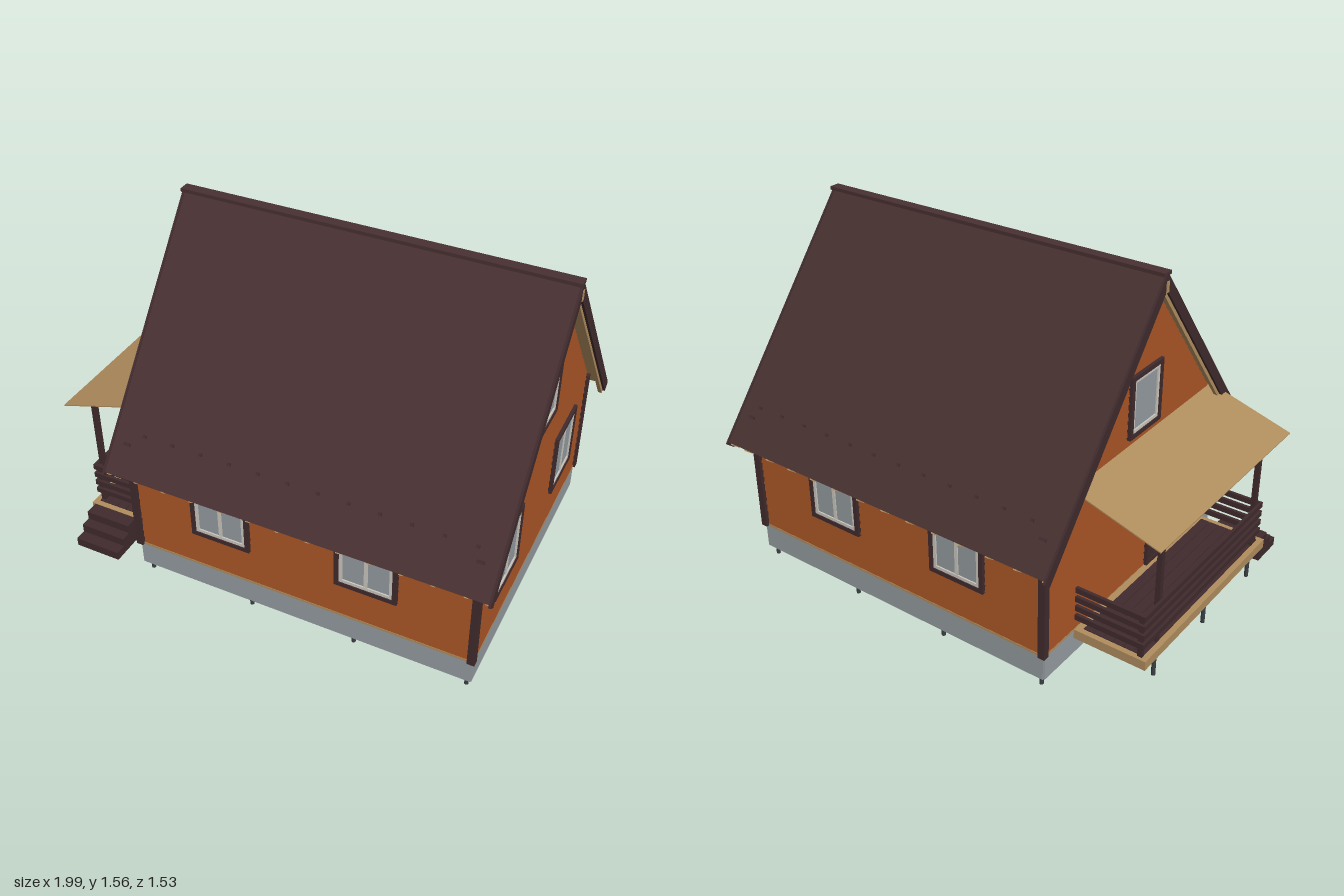
import * as THREE from 'three';

const mat = (name, color, side = THREE.FrontSide) => {
  const m = new THREE.MeshStandardMaterial({ color, side });
  m.name = name;
  return m;
};

export function createModel() {
  const M = {
    wall: mat('orange siding', 0xa05023),
    roof: mat('roof brown', 0x483031),
    trim: mat('trim brown', 0x402b2d),
    wood: mat('raw timber', 0xb08d5e),
    skirt: mat('plinth grey', 0x949ca0),
    glass: mat('window glass', 0x949ca0),
    frame: mat('window frame', 0xccc8c0),
    steel: mat('pile steel', 0x3a3f42),
  };
  const house = new THREE.Group();
  house.name = 'house';

  const add = (name, geo, m, parent = house) => {
    const mesh = new THREE.Mesh(geo, m);
    mesh.name = name;
    parent.add(mesh);
    return mesh;
  };
  // box given by its min and max on each axis
  const box = (name, m, x0, x1, y0, y1, z0, z1, parent = house) => {
    const b = add(name, new THREE.BoxGeometry(x1 - x0, y1 - y0, z1 - z0), m, parent);
    b.position.set((x0 + x1) / 2, (y0 + y1) / 2, (z0 + z1) / 2);
    return b;
  };
  // outline in (z, y) extruded from x0 to x1
  const alongX = (name, m, pts, x0, x1) => {
    const shape = new THREE.Shape(pts.map(p => new THREE.Vector2(...p)));
    const geo = new THREE.ExtrudeGeometry(shape, { depth: x1 - x0, bevelEnabled: false });
    geo.rotateY(-Math.PI / 2).translate(x1, 0, 0);
    return add(name, geo, m);
  };

  const X0 = -0.614, X1 = 0.91, Z = 0.655, XC = (X0 + X1) / 2;
  const APEX = 1.555, SLOPE = 1.242, NZ = 0.779, NY = 0.627;

  // wall core with gables
  const wallTop = 1.515;
  alongX('wallCore', M.wall, [[-Z, 0.17], [Z, 0.17], [Z, wallTop - SLOPE * Z],
    [0, wallTop], [-Z, wallTop - SLOPE * Z]], X0, X1);

  // lapped siding: each board leans out at its lower edge
  const siding = (name, halfWidth, top, x, z, turn) => {
    const pos = [], idx = [], h = 0.036, d = 0.007;
    for (let y = 0.17; y < top - 0.005; y += h) {
      const y1 = Math.min(y + h, top), a = halfWidth(y), b = halfWidth(y1), n = pos.length / 3;
      pos.push(-a, y, d, a, y, d, b, y1, 0.001, -b, y1, 0.001);
      pos.push(-a, y, 0, a, y, 0, a, y, d, -a, y, d);
      for (const k of [n, n + 4]) idx.push(k, k + 1, k + 2, k, k + 2, k + 3);
    }
    const geo = new THREE.BufferGeometry();
    geo.setAttribute('position', new THREE.Float32BufferAttribute(pos, 3));
    geo.setIndex(idx);
    geo.computeVertexNormals();
    const s = add(name, geo, M.wall);
    s.position.set(x, 0, z);
    s.rotation.y = turn;
  };
  const gableHalf = y => Math.max(0, Math.min(Z, (wallTop - y) / SLOPE));
  siding('frontSiding', () => (X1 - X0) / 2, 0.7, XC, Z, 0);
  siding('backSiding', () => (X1 - X0) / 2, 0.7, XC, -Z, Math.PI);
  siding('leftSiding', gableHalf, wallTop, X1, 0, Math.PI / 2);
  siding('rightSiding', gableHalf, wallTop, X0, 0, -Math.PI / 2);

  // corner boards
  for (const x of [X0, X1]) for (const s of [-1, 1])
    box('cornerBoard', M.trim, x - 0.016, x + 0.016, 0.165, 0.69, s * 0.66 - 0.015, s * 0.66 + 0.015);

  // windows and door, built facing +z
  const ring = (w, h, t, depth) => {
    const rect = (C, a, b) => new C([[-a, -b], [a, -b], [a, b], [-a, b]].map(p => new THREE.Vector2(...p)));
    const s = rect(THREE.Shape, w / 2, h / 2);
    s.holes.push(rect(THREE.Path, w / 2 - t, h / 2 - t));
    return new THREE.ExtrudeGeometry(s, { depth, bevelEnabled: false });
  };
  const opening = (name, w, h, panes, x, y, z, turn, inner = M.frame) => {
    const g = new THREE.Group();
    g.name = name;
    add('casing', ring(w, h, 0.02, 0.02), M.trim, g);
    add('sash', ring(w - 0.04, h - 0.04, 0.014, 0.016), inner, g);
    box('pane', M.glass, -w / 2 + 0.03, w / 2 - 0.03, -h / 2 + 0.03, h / 2 - 0.03, 0.001, 0.01, g);
    if (panes > 1) box('mullion', inner, -0.008, 0.008, -h / 2 + 0.03, h / 2 - 0.03, 0.008, 0.014, g);
    g.position.set(x, y, z);
    g.rotation.y = turn;
    house.add(g);
    return g;
  };
  for (const x of [-0.2, 0.455]) {
    opening('frontWindow', 0.27, 0.3, 2, x, 0.495, Z, 0);
    opening('backWindow', 0.27, 0.3, 2, x, 0.495, -Z, Math.PI);
  }
  for (const z of [-0.35, 0.35]) opening('leftWindow', 0.27, 0.3, 2, X1, 0.495, z, Math.PI / 2);
  opening('leftAtticWindow', 0.23, 0.275, 1, X1, 1.012, 0, Math.PI / 2);
  opening('rightAtticWindow', 0.23, 0.275, 1, X0, 1.012, 0, -Math.PI / 2);
  const door = opening('door', 0.27, 0.45, 2, X0, 0.397, 0.21, -Math.PI / 2, M.trim);
  box('doorPanel', M.trim, -0.115, 0.115, -0.2, -0.06, 0.002, 0.014, door);

  // roof layers: strip from ridge to eave between two depths under the roof line
  const strip = (name, m, s, eave, p0, p1, x0, x1) => {
    const ey = APEX - SLOPE * eave;
    alongX(name, m, [[0, APEX - p0 / NY], [s * (eave - NZ * p0), ey - NY * p0],
      [s * (eave - NZ * p1), ey - NY * p1], [0, APEX - p1 / NY]], x0, x1);
  };
  for (const s of [-1, 1]) {
    strip('roofSheet', M.roof, s, 0.758, 0.003, 0.014, -0.685, 0.985);
    strip('roofDecking', M.wood, s, 0.75, 0.014, 0.02, -0.68, 0.98);
    strip('bargeBoard', M.trim, s, 0.765, 0, 0.045, -0.69, -0.68);
    strip('bargeBoard', M.trim, s, 0.765, 0, 0.045, 0.98, 0.99);
    for (let i = 0; i < 14; i++) {
      const x = Math.min(-0.672 + 0.13 * i, 0.972);
      strip('rafter', M.wood, s, 0.762, 0.02, 0.06, x - 0.008, x + 0.008);
    }
    // snow guards and end brackets
    const tilt = s * Math.atan(SLOPE);
    const stud = (name, x, z, w) => {
      const b = add(name, new THREE.BoxGeometry(w, 0.012, 0.012), M.trim);
      b.position.set(x, APEX - SLOPE * z, s * z);
      b.rotation.x = tilt;
    };
    for (let i = 0; i < 12; i++) stud('snowGuard', -0.545 + 0.13 * i, 0.64, 0.014);
    for (const x of [-0.615, 0.91]) stud('roofBracket', x, 0.672, 0.03);
  }
  alongX('ridgeCap', M.roof, [[-0.024, 1.542], [0.024, 1.542], [0.024, 1.557], [-0.024, 1.557]], -0.69, 0.99);
  box('ridgeBeam', M.wood, -0.693, 0.993, 1.475, 1.52, -0.009, 0.009);

  // plinth skirt, sill and floor
  for (const s of [-1, 1]) {
    box('plinthLong', M.skirt, X0, X1 + 0.003, 0.05, 0.168, s * 0.655 - 0.005, s * 0.655 + 0.005);
    box('sillLong', M.wood, X0, X1, 0.163, 0.174, s * 0.656 - 0.007, s * 0.656 + 0.007);
  }
  for (const x of [X0, X1]) {
    box('plinthShort', M.skirt, x - 0.005, x + 0.005, 0.05, 0.168, -Z, Z);
    box('sillShort', M.wood, x - 0.007, x + 0.007, 0.163, 0.174, -Z, Z);
  }
  box('subfloor', M.wood, X0, X1, 0.155, 0.168, -0.65, 0.65);
  for (let i = 0; i < 11; i++) {
    const z = -0.635 + 0.127 * i;
    box('floorJoist', M.wood, X0 + 0.006, X1 - 0.006, 0.11, 0.156, z - 0.015, z + 0.015);
  }

  // screw piles with cap plates
  const pile = (x, z, top) => {
    const p = add('pile', new THREE.CylinderGeometry(0.009, 0.009, top, 12), M.steel);
    p.position.set(x, top / 2, z);
    box('pileCap', M.steel, x - 0.022, x + 0.022, top - 0.005, top, z - 0.022, z + 0.022);
  };
  for (const x of [-0.588, -0.09, 0.39, 0.888])
    for (const z of [-0.63, -0.215, 0.22, 0.63]) pile(x, z, 0.11);
  for (const z of [-0.325, 0.08, 0.48]) pile(-0.915, z, 0.132);

  // porch frame and deck boards
  box('porchBeam', M.wood, -0.95, -0.925, 0.13, 0.172, -0.46, 0.55);
  box('porchBeam', M.wood, -0.65, -0.622, 0.13, 0.172, -0.46, 0.55);
  for (const z of [-0.46, 0.525]) box('porchEndBeam', M.wood, -0.925, -0.65, 0.13, 0.172, z, z + 0.025);
  for (let i = 0; i < 6; i++) {
    const x = -0.925 + 0.046 * i;
    box('deckBoard', M.trim, x, x + 0.043, 0.158, 0.175, -0.435, 0.525);
  }

  // porch posts and railings
  for (const z of [-0.325, 0.48]) box('porchPost', M.trim, -0.926, -0.904, 0.17, 0.735, z - 0.011, z + 0.011);
  for (let i = 0; i < 4; i++) {
    const y = 0.22 + 0.044 * i;
    for (const z of [-0.45, 0.515]) box('endRail', M.trim, -0.935, -0.622, y, y + 0.025, z - 0.007, z + 0.007);
    box('sideRail', M.trim, -0.937, -0.925, y, y + 0.025, -0.457, 0.522);
  }
  for (const z of [-0.438, 0.503]) box('railPost', M.trim, -0.926, -0.904, 0.17, 0.37, z - 0.008, z + 0.008);

  // porch steps
  [0.705, 0.655, 0.61].forEach((z, i) =>
    box('step', M.trim, -0.935, -0.72, 0.05 + 0.04 * i, 0.09 + 0.04 * i, 0.55, z));

  // porch awning
  alongX('awning', M.wood, [[-0.49, 0], [0.57, 0], [0.57, 0.005], [-0.49, 0.005]], 0, 0.408);
  const awning = house.children[house.children.length - 1];
  awning.position.set(-1, 0.717, 0);
  awning.rotation.z = Math.atan2(0.12, 0.39);

  return house;
}
